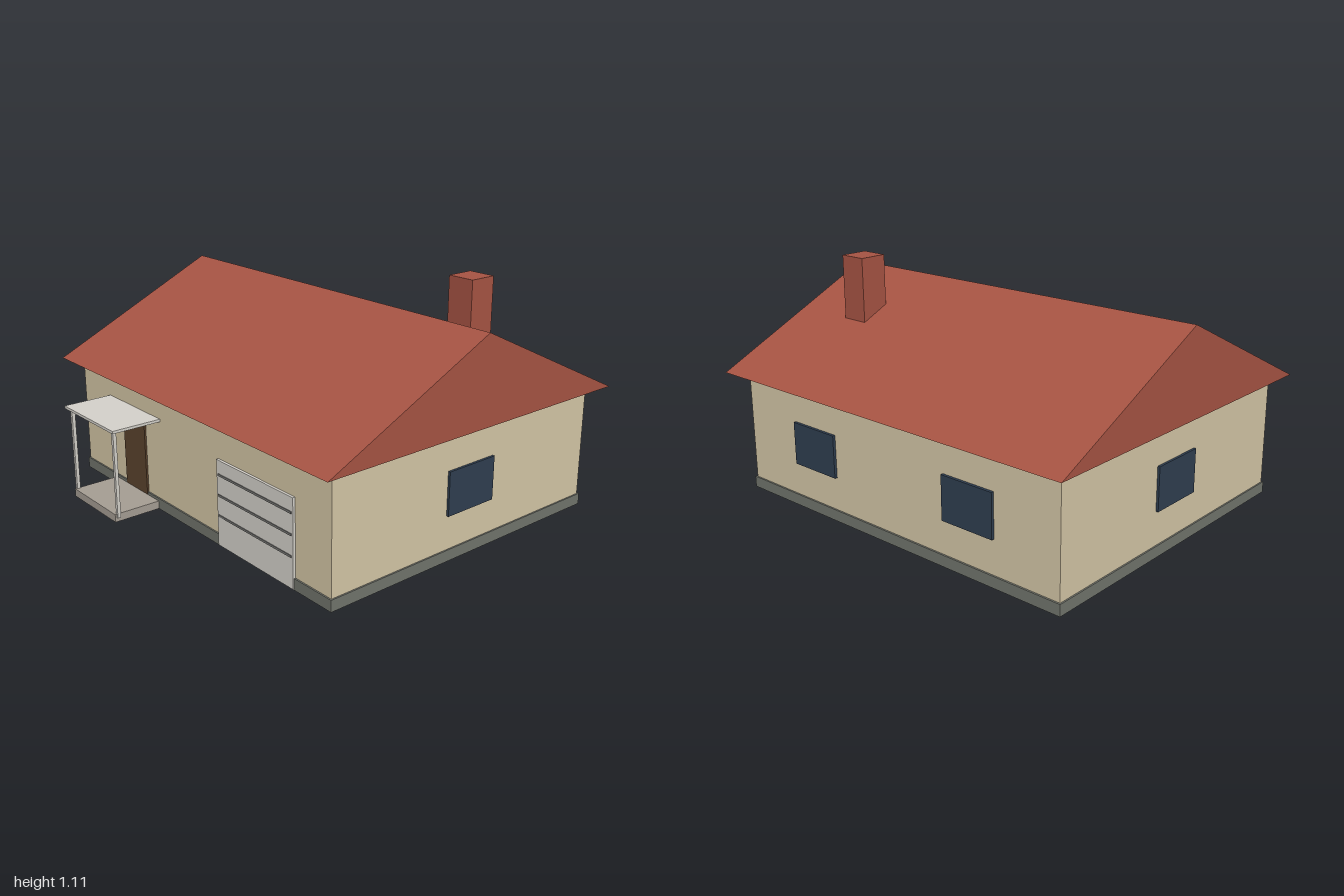
import * as THREE from 'three';

const material = (name, color) => {
  const m = new THREE.MeshStandardMaterial({ color });
  m.name = name;
  return m;
};

export function createModel() {
  const house = new THREE.Group();
  house.name = 'house';

  const wallBeige = material('wall beige', 0xd4c6a6);
  const roofRed = material('roof red', 0xa65343);
  const baseGrey = material('foundation grey', 0x71746c);
  const glassBlue = material('window blue', 0x2f3e50);
  const doorBrown = material('door brown', 0x5b432d);
  const trimWhite = material('trim white', 0xd4d1ca);
  const grooveGrey = material('groove grey', 0x747472);
  const slabGrey = material('porch grey', 0xa59d93);

  // Box given by its extents along each axis
  const box = (name, mat, [x0, x1], [y0, y1], [z0, z1], parent = house) => {
    const mesh = new THREE.Mesh(new THREE.BoxGeometry(x1 - x0, y1 - y0, z1 - z0), mat);
    mesh.position.set((x0 + x1) / 2, (y0 + y1) / 2, (z0 + z1) / 2);
    mesh.name = name;
    parent.add(mesh);
    return mesh;
  };

  // Body
  box('foundation', baseGrey, [-0.94, 0.94], [0, 0.052], [-0.848, 0.692]);
  box('walls', wallBeige, [-0.933, 0.933], [0.05, 0.59], [-0.84, 0.685]);

  // Gable roof: triangle in the z-y plane, extruded along x
  const gable = new THREE.Shape();
  gable.moveTo(-0.765, 0.58);
  gable.lineTo(0.925, 0.58);
  gable.lineTo(0.08, 0.983);
  gable.closePath();
  const roofGeometry = new THREE.ExtrudeGeometry(gable, { depth: 2, bevelEnabled: false });
  roofGeometry.translate(0, 0, -1).rotateY(Math.PI / 2);
  const roof = new THREE.Mesh(roofGeometry, roofRed);
  roof.name = 'roof';
  house.add(roof);

  box('chimney', roofRed, [0.55, 0.685], [0.7, 1.105], [-0.455, -0.32]);

  // Windows: one on each gable end, two at the back
  const sill = [0.208, 0.408];
  for (const side of [-1, 1]) {
    const sideX = [side * 0.932, side * 0.944].sort((a, b) => a - b);
    box('sideWindow', glassBlue, sideX, sill, [-0.216, 0.056]);
    const x = side * 0.467;
    box('backWindow', glassBlue, [x - 0.136, x + 0.136], sill, [-0.853, -0.839]);
  }

  // Front door
  box('frontDoor', doorBrown, [-0.56, -0.374], [0.04, 0.392], [0.684, 0.694]);

  // Garage door with panel grooves
  const garage = new THREE.Group();
  garage.name = 'garage';
  house.add(garage);
  box('garageDoor', trimWhite, [0.207, 0.717], [0.004, 0.402], [0.684, 0.697], garage);
  for (const y of [0.146, 0.241, 0.336]) {
    box('garageGroove', grooveGrey, [0.216, 0.708], [y - 0.005, y + 0.005], [0.692, 0.7], garage);
  }

  // Porch: slab, two posts and a flat canopy
  const porch = new THREE.Group();
  porch.name = 'porch';
  porch.position.x = -0.468;
  house.add(porch);
  box('porchSlab', slabGrey, [-0.188, 0.188], [0, 0.038], [0.685, 0.922], porch);
  box('porchCanopy', trimWhite, [-0.22, 0.22], [0.437, 0.45], [0.684, 0.928], porch);
  for (const side of [-1, 1]) {
    const x = side * 0.188;
    box('porchPost', trimWhite, [x - 0.008, x + 0.008], [0.02, 0.44], [0.897, 0.913], porch);
  }

  return house;
}
